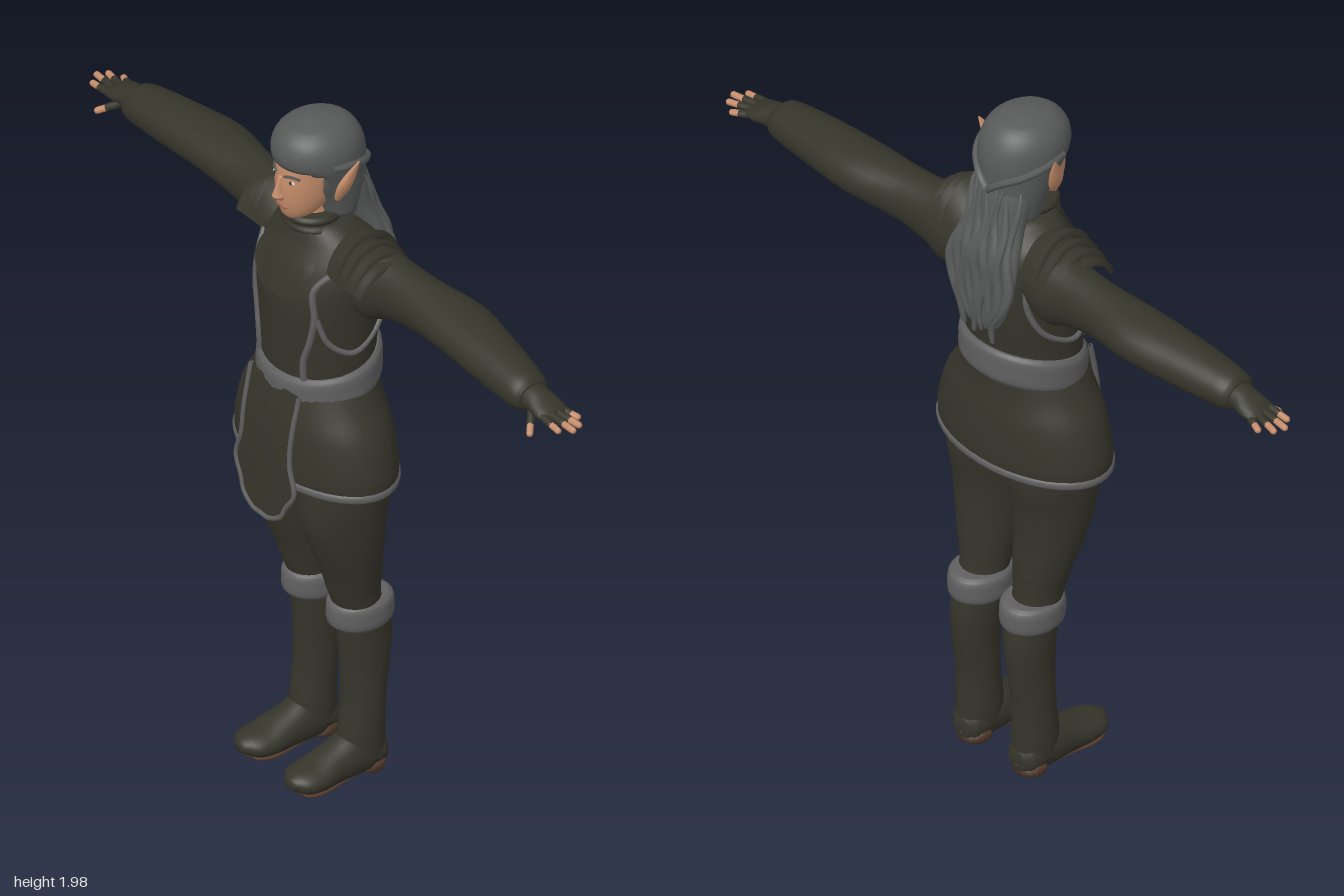
import * as THREE from 'three';

const mat = (name, color, side = THREE.FrontSide) =>
  Object.assign(new THREE.MeshStandardMaterial({ color, side }), { name });

// Smooth interpolation of cross-section rows [t, a, b, ra, rb] at position t
function sample(rows, t) {
  let i = 0;
  while (i < rows.length - 2 && t > rows[i + 1][0]) i++;
  const p = rows[i], q = rows[i + 1], h = q[0] - p[0], u = (t - p[0]) / h;
  const o = rows[i - 1] || p, r = rows[i + 2] || q;
  return p.map((v, k) => {
    const m0 = (q[k] - o[k]) / (q[0] - o[0]) * h, m1 = (r[k] - v) / (r[0] - p[0]) * h;
    const u2 = u * u, u3 = u2 * u;
    return v * (2 * u3 - 3 * u2 + 1) + m0 * (u3 - 2 * u2 + u) + q[k] * (3 * u2 - 2 * u3) + m1 * (u3 - u2);
  });
}

// Skin elliptical cross-sections along an axis; arc gives an open strip
function loft(rows, { axis = 'y', n = 28, sub = 4, arc = null, cap = true, warp = null } = {}) {
  const pos = [], idx = [], v = new THREE.Vector3();
  const put = (t, x, y) => {
    if (axis === 'y') v.set(x, t, y);
    else if (axis === 'x') v.set(t, x, -y);
    else v.set(x, -y, t);
    if (warp) warp(v);
    pos.push(v.x, v.y, v.z);
  };
  const [a0, a1] = arc || [0, Math.PI * 2], cols = arc ? n + 1 : n;
  const rings = [];
  for (let i = 0; i < rows.length - 1; i++)
    for (let s = 0; s < sub; s++)
      rings.push(sample(rows, THREE.MathUtils.lerp(rows[i][0], rows[i + 1][0], s / sub)));
  rings.push(rows[rows.length - 1]);
  // The second axis is flipped for x and z lofts so that faces point outwards
  const f = axis === 'y' ? 1 : -1;
  for (const [t, a, b, ra, rb] of rings)
    for (let j = 0; j < cols; j++) {
      const w = a0 + (a1 - a0) * j / n;
      put(t, a + ra * Math.cos(w), f * b + rb * Math.sin(w));
    }
  for (let i = 0; i < rings.length - 1; i++)
    for (let j = 0; j < n; j++) {
      const k = (j + 1) % cols, p = i * cols, q = p + cols;
      idx.push(p + j, q + j, p + k, p + k, q + j, q + k);
    }
  if (cap && !arc) {
    const c = pos.length / 3, last = (rings.length - 1) * cols;
    for (const r of [rings[0], rings[rings.length - 1]]) put(r[0], r[1], f * r[2]);
    for (let j = 0; j < n; j++) {
      const k = (j + 1) % n;
      idx.push(c, j, k, c + 1, last + k, last + j);
    }
  }
  const g = new THREE.BufferGeometry();
  g.setAttribute('position', new THREE.Float32BufferAttribute(pos, 3));
  g.setIndex(idx);
  g.computeVertexNormals();
  return g;
}

function mirrored(geo) {
  const g = geo.clone().applyMatrix4(new THREE.Matrix4().makeScale(-1, 1, 1));
  const a = g.index.array;
  for (let i = 0; i < a.length; i += 3) [a[i], a[i + 1]] = [a[i + 1], a[i]];
  return g;
}

const tube = (pts, r, seg = 40) => new THREE.TubeGeometry(
  new THREE.CatmullRomCurve3(pts.map(p => new THREE.Vector3(...p))), seg, r, 6);

function capsule(a, b, r) {
  const A = new THREE.Vector3(...a), B = new THREE.Vector3(...b), d = B.clone().sub(A);
  const q = new THREE.Quaternion().setFromUnitVectors(new THREE.Vector3(0, 1, 0), d.clone().normalize());
  const mid = A.add(B).multiplyScalar(0.5);
  return new THREE.CapsuleGeometry(r, d.length(), 4, 10).applyQuaternion(q).translate(mid.x, mid.y, mid.z);
}

const blob = (x, y, z, sx, sy, sz) =>
  new THREE.SphereGeometry(1, 14, 10).scale(sx, sy, sz).translate(x, y, z);

export function createModel() {
  const root = new THREE.Group();
  root.name = 'figure';
  const cloth = mat('dark cloth', 0x36352b, THREE.DoubleSide);
  const trim = mat('grey trim', 0x606060, THREE.DoubleSide);
  const hair = mat('grey hair', 0x585959);
  const skin = mat('skin', 0xc48c6a);
  const sole = mat('brown sole', 0x543a2a);
  const lip = mat('lips', 0x9c5f4e);
  const white = mat('eye white', 0xc9c2b8);
  const iris = mat('dark iris', 0x2e251f);

  const add = (name, geo, m) => {
    const mesh = new THREE.Mesh(geo, m);
    mesh.name = name;
    root.add(mesh);
  };
  const pair = (name, geo, m) => {
    add(name + 'Left', geo, m);
    add(name + 'Right', mirrored(geo), m);
  };

  // Torso, belt and collar
  const torso = [[1.18, 0, -.008, .163, .135], [1.3, 0, -.005, .165, .137], [1.4, 0, -.01, .17, .147],
    [1.5, 0, -.012, .178, .151], [1.58, 0, -.022, .18, .132], [1.64, 0, -.025, .15, .105], [1.69, 0, -.005, .08, .072]];
  const tilt = v => { v.y -= .22 * v.z; };
  add('torso', loft(torso, { n: 36 }), cloth);
  add('belt', loft([[1.185, 0, -.008, .166, .139], [1.2, 0, -.008, .177, .149], [1.235, 0, -.008, .178, .15],
    [1.27, 0, -.008, .176, .149], [1.285, 0, -.008, .166, .139]], { n: 36, warp: tilt }), trim);
  add('collar', loft([[1.64, 0, 0, .1, .085], [1.665, 0, .008, .08, .074], [1.675, 0, .01, .084, .08],
    [1.69, 0, .012, .074, .073], [1.702, 0, .014, .078, .078], [1.715, 0, .014, .07, .07]], {}), cloth);
  const panel = torso.slice(3).map(([y, a, b, rx, rz]) => [y, a, b, rx + .008, rz + .008]);
  add('chestPanel', loft(panel, { arc: [Math.PI / 2 - .6, Math.PI / 2 + .6], n: 20,
    warp: v => { v.y += Math.max(0, Math.abs(v.x) - .06) * Math.max(0, 1.6 - v.y) * 11; } }), cloth);

  // Vest trim, laid on the torso surface
  const onFront = (x, y) => {
    const [, , cz, rx, rz] = sample(torso, y);
    return [x, y, cz + rz * Math.sqrt(1 - (x / rx) ** 2) + .003];
  };
  const onSide = (z, y) => {
    const [, , cz, rx, rz] = sample(torso, y);
    return [rx * Math.sqrt(Math.max(0, 1 - ((z - cz) / rz) ** 2)) + .003, y, z];
  };
  pair('frontTrim', tube([[.148, 1.6], [.115, 1.54], [.122, 1.46], [.108, 1.38], [.092, 1.32], [.09, 1.26]]
    .map(p => onFront(...p)), .009), trim);
  pair('armholeTrim', tube([[-.115, 1.6], [-.12, 1.48], [-.08, 1.39], [.01, 1.345], [.07, 1.38], [.098, 1.46]]
    .map(p => onSide(...p)), .008), trim);

  // Flared skirt with hem
  add('skirt', loft([[.95, 0, 0, .27, .16], [1, 0, 0, .27, .162], [1.1, 0, 0, .242, .155],
    [1.17, 0, 0, .2, .144], [1.24, 0, -.005, .162, .137]], { n: 40, cap: false }), cloth);
  add('skirtHem', loft([[.942, 0, 0, .27, .16], [.948, 0, 0, .275, .165], [.96, 0, 0, .275, .166],
    [.966, 0, 0, .271, .162]], { n: 40, sub: 2, cap: false }), trim);

  // Front flap: rows of [y, half width, z]
  const flap = [[.83, .03, .178], [.855, .075, .177], [.89, .092, .175], [.94, .12, .173], [1.02, .1, .169],
    [1.1, .098, .162], [1.22, .1, .138]];
  const flapAt = (u, y) => {
    const [, w, z] = sample(flap, y), x = u * w;
    return [x, y, z - .6 * x * x];
  };
  const flapGeo = new THREE.PlaneGeometry(2, 1, 10, 32), fp = flapGeo.attributes.position;
  for (let i = 0; i < fp.count; i++) fp.setXYZ(i, ...flapAt(fp.getX(i), 1.025 + .39 * fp.getY(i)));
  flapGeo.computeVertexNormals();
  add('frontFlap', flapGeo, cloth);
  pair('flapTrim', tube([[0, .83, .178], ...flap.map(r => flapAt(1, r[0]))], .007, 60), trim);

  // Shoulder plates, overlapping outwards
  [[.1, 1.665, .17, 1.7], [.14, 1.655, .2, 1.685], [.17, 1.648, .23, 1.667], [.2, 1.635, .255, 1.645]]
    .forEach(([x0, y0, x1, y1], k) => pair('shoulderPlate' + (k + 1), loft(
      [[x0, 1.55, -.032, y0 - 1.55, .098 - k * .002], [x1, 1.55, -.032, y1 - 1.55, .11 - k * .004],
        [x1 + .003, 1.55, -.032, y1 - 1.568, .094 - k * .004]],
      { axis: 'x', arc: [-1.3, 1.3], n: 18, sub: 1 }), cloth));

  // Arms, gloves and fingers
  pair('sleeve', loft([[.09, 1.555, -.05, .08, .075], [.18, 1.545, -.055, .108, .085], [.25, 1.557, -.062, .089, .072],
    [.35, 1.565, -.068, .075, .07], [.5, 1.57, -.077, .064, .086], [.65, 1.562, -.067, .062, .076],
    [.78, 1.553, -.058, .055, .063], [.815, 1.55, -.056, .048, .055], [.83, 1.548, -.056, .036, .042]], { axis: 'x' }), cloth);
  pair('glove', loft([[.8, 1.547, -.056, .038, .043], [.845, 1.546, -.058, .033, .04], [.875, 1.541, -.06, .025, .045],
    [.905, 1.536, -.06, .017, .043], [.918, 1.534, -.06, .008, .034]], { axis: 'x', n: 20 }), cloth);
  const fingers = {
    thumb: [[.855, 1.53, -.03], [.9, 1.5, .01]],
    index: [[.9, 1.537, -.028], [.968, 1.53, -.028]],
    middle: [[.905, 1.537, -.05], [.991, 1.531, -.058]],
    ring: [[.905, 1.536, -.071], [.979, 1.529, -.086]],
    little: [[.895, 1.534, -.09], [.945, 1.526, -.108]],
  };
  for (const [name, [a, b]] of Object.entries(fingers)) {
    const m = a.map((v, i) => v + (b[i] - v) * .55);
    pair(name + 'Glove', capsule(a, m, .0105), cloth);
    pair(name + 'Tip', capsule(m, b, .009), skin);
  }

  // Legs, boots and fur cuffs
  pair('leg', loft([[.48, .094, -.065, .06, .06], [.56, .096, -.045, .066, .07], [.62, .099, -.036, .077, .079],
    [.72, .105, -.015, .091, .1], [.82, .107, -.002, .1, .121], [.92, .107, -.008, .104, .135],
    [1.05, .1, -.01, .1, .13], [1.16, .08, -.01, .08, .11]]), cloth);
  pair('bootShaft', loft([[.04, .1, -.068, .053, .062], [.1, .1, -.064, .056, .066], [.2, .1, -.07, .056, .06],
    [.3, .098, -.077, .056, .066], [.4, .095, -.079, .061, .075], [.48, .094, -.07, .064, .074]]), cloth);
  pair('bootFoot', loft([[-.132, .1, .045, .025, .028], [-.11, .1, .05, .048, .05], [-.03, .1, .058, .055, .068],
    [.03, .1, .05, .056, .055], [.09, .102, .042, .061, .041], [.14, .104, .042, .052, .031], [.17, .105, .046, .018, .014]],
    { axis: 'z', warp: v => { v.y = Math.max(v.y, .014); } }), cloth);
  pair('heel', loft([[0, .1, -.085, .046, .042], [.034, .1, -.085, .052, .048]], { n: 20, sub: 1 }), sole);
  pair('frontSole', loft([[-.05, .1, .014, .04, .007], [.03, .1, .012, .047, .009], [.09, .102, .011, .054, .01],
    [.135, .104, .015, .046, .009], [.155, .105, .024, .02, .008]], { axis: 'z', n: 20 }), sole);
  pair('bootCuff', loft([[.452, .093, -.067, .064, .076], [.465, .093, -.067, .075, .09], [.495, .093, -.067, .077, .093],
    [.523, .093, -.067, .074, .089], [.534, .093, -.067, .062, .074]]), trim);

  // Head and face
  add('neck', new THREE.CylinderGeometry(.045, .05, .1, 18).translate(0, 1.72, .012), skin);
  add('face', loft([[1.706, 0, .07, .02, .024], [1.72, 0, .056, .042, .049], [1.75, 0, .04, .06, .075],
    [1.79, 0, .025, .071, .094], [1.84, 0, .015, .077, .102], [1.9, 0, 0, .08, .105], [1.95, 0, -.005, .055, .075]]), skin);
  add('nose', loft([[1.774, 0, .118, .013, .008], [1.784, 0, .12, .016, .02], [1.795, 0, .12, .011, .018],
    [1.815, 0, .115, .008, .015], [1.843, 0, .108, .007, .012]], { n: 14 }), skin);
  add('mouth', blob(0, 1.751, .112, .023, .006, .007), lip);
  pair('eye', blob(.032, 1.832, .104, .013, .006, .005), white);
  pair('iris', blob(.032, 1.832, .107, .005, .0055, .004), iris);
  pair('brow', tube([[.014, 1.846, .115], [.034, 1.852, .109], [.054, 1.846, .093]], .0035, 10), hair);
  pair('ear', loft([[1.775, .095, .006, .008, .008], [1.8, .105, .001, .012, .019], [1.83, .115, -.005, .013, .023],
    [1.86, .124, -.015, .009, .018], [1.9, .137, -.03, .002, .003]], { n: 16 }), skin);

  // Hair: a cap cut back around the face, then a long fall with loose locks
  add('hairCap', loft([[1.7, 0, -.045, .082, .06], [1.76, 0, -.043, .094, .084], [1.82, 0, -.025, .104, .106],
    [1.88, 0, -.005, .111, .125], [1.93, 0, 0, .102, .114], [1.965, 0, 0, .069, .08], [1.981, 0, 0, .02, .025]], {
    n: 40, sub: 6,
    warp: v => { v.z = Math.min(v.z, .035 + .165 * THREE.MathUtils.smoothstep(v.y, 1.845, 1.895)); },
  }), hair);
  const fall = [[1.4, 0, -.163, .06, .012], [1.46, 0, -.162, .095, .017], [1.55, 0, -.152, .112, .022],
    [1.62, 0, -.132, .105, .042], [1.7, 0, -.098, .088, .052], [1.78, 0, -.068, .088, .066], [1.85, 0, -.03, .08, .08]];
  add('hairFall', loft(fall), hair);
  for (let i = 0; i < 9; i++) {
    const u = (i - 4) / 4.6, y0 = 1.36 + .05 * Math.abs(Math.sin(i * 2.3)), rows = [];
    for (let s = 0; s <= 10; s++) {
      const y = y0 + (1.82 - y0) * s / 10, [, , cz, rx, rz] = sample(fall, Math.max(1.4, y));
      const r = .003 + .014 * Math.sin(Math.PI * Math.min(1, s / 10 + .05)) ** .7;
      rows.push([y, u * rx + .008 * Math.sin(s * 1.3 + i * 1.9), cz - rz * Math.sqrt(1 - u * u), r, r * .7]);
    }
    add('hairLock' + (i + 1), loft(rows, { n: 8, sub: 2 }), hair);
  }
  // Swept bands from the temples to the back of the head
  pair('hairBand', tube([[.105, 1.88, .03], [.111, 1.875, -.03], [.085, 1.855, -.09], [.03, 1.825, -.132], [0, 1.8, -.138]], .011), hair);

  return root;
}
